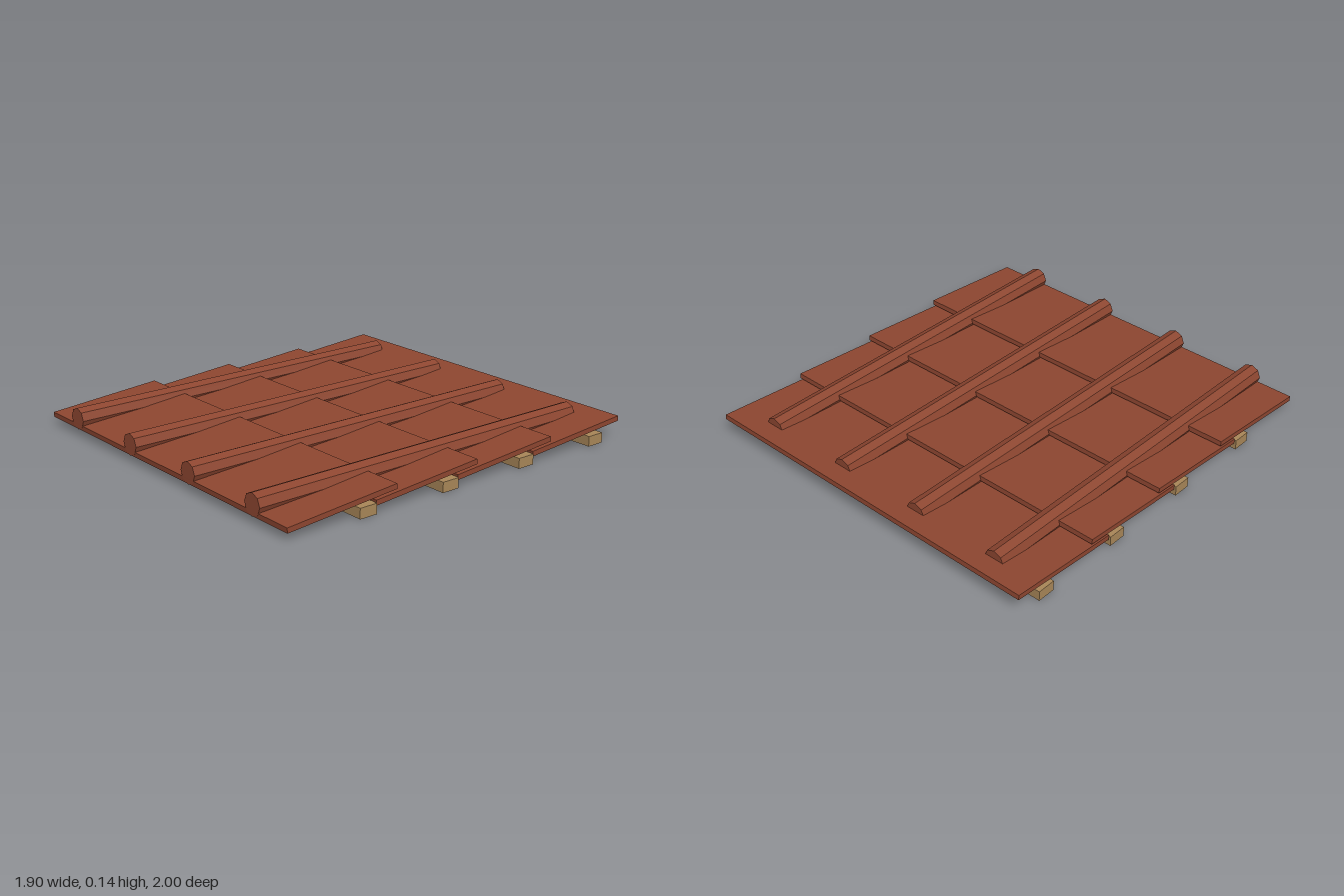
import * as THREE from 'three';

export function createModel() {
  const clay = new THREE.MeshStandardMaterial({ color: 0x8d4630, flatShading: true });
  clay.name = 'terracotta';
  const wood = new THREE.MeshStandardMaterial({ color: 0xa88658, flatShading: true });
  wood.name = 'batten wood';

  const model = new THREE.Group();
  model.name = 'roofSection';
  const add = (name, geometry, material, x, y, z) => {
    const mesh = new THREE.Mesh(geometry, material);
    mesh.name = name;
    mesh.position.set(x, y, z);
    model.add(mesh);
    return mesh;
  };

  const pitch = 0.471;
  const slabGeo = new THREE.BoxGeometry(1.885, 0.025, 0.589);
  const battenGeo = new THREE.BoxGeometry(1.9, 0.05, 0.092);
  // Octagonal roll lying along z, with one ridge pointing up
  const rollGeo = new THREE.CylinderGeometry(0.054, 0.054, 1.895, 8).rotateX(Math.PI / 2);

  for (let i = 0; i < 4; i++) {
    // Overlapping tile row, low at the front and raised at the back
    add(`tileRow${i + 1}`, slabGeo, clay, 0, 0.071, 0.7055 - i * pitch).rotation.x = 0.08;
    // Wooden batten beneath
    add(`batten${i + 1}`, battenGeo, wood, 0, 0.025, 0.578 - i * pitch);
    // Continuous cover roll
    add(`coverRoll${i + 1}`, rollGeo, clay, (i - 1.5) * pitch, 0.087, 0.0525);
  }
  return model;
}
